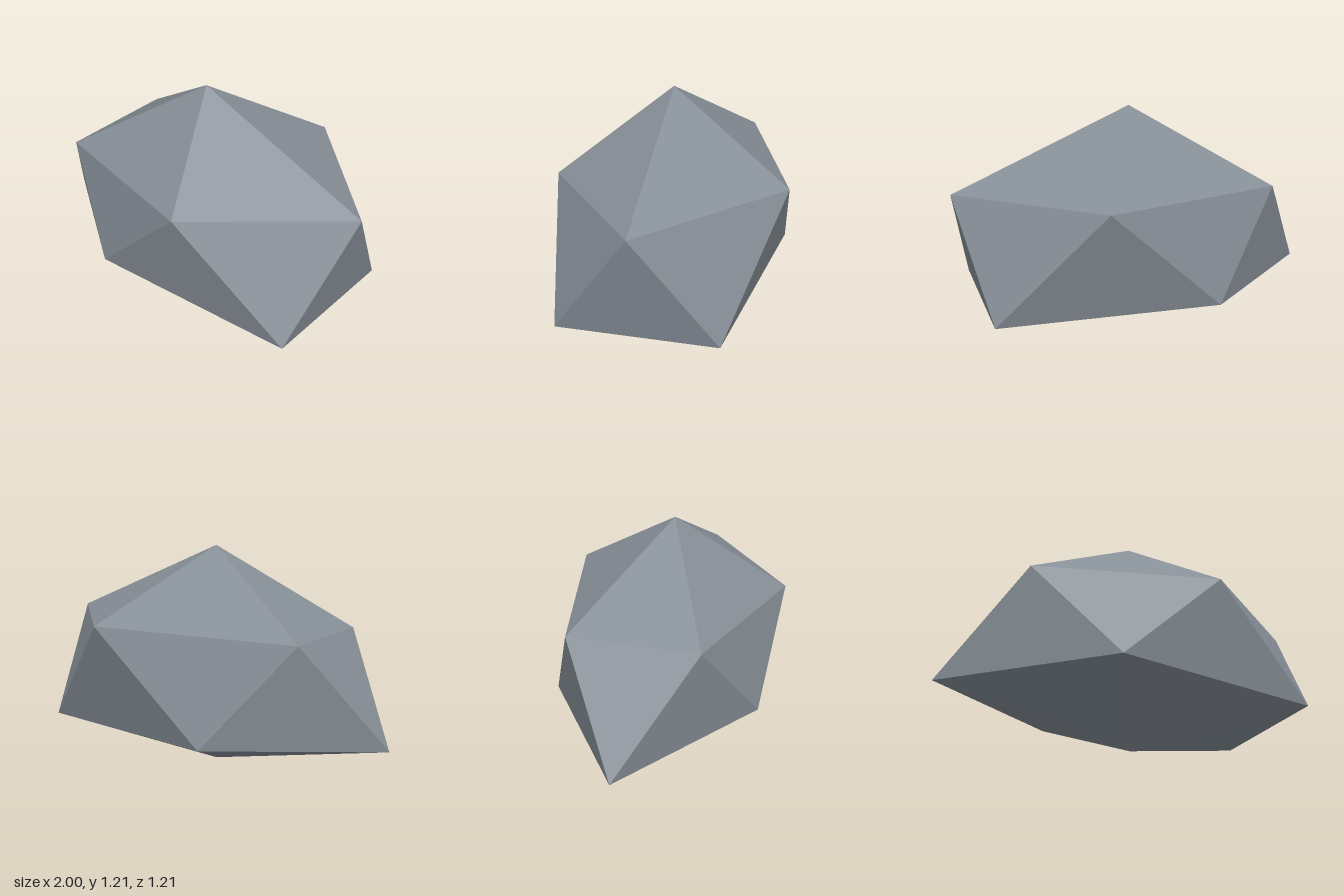
import * as THREE from 'three';

// Faceted boulder: two staggered five-point rings between a top and a bottom point
export function createModel() {
  const stoneGrey = new THREE.MeshStandardMaterial({ color: 0x868e96 });
  stoneGrey.name = 'stoneGrey';

  const top = [0.04, 1.21, 0.04];
  const bottom = [0.04, 0, 0.04];
  const upper = [[1, 0.81, 0.04], [0.31, 0.785, 0.6], [-0.63, 0.775, 0.37], [-0.66, 0.785, -0.3], [0.355, 0.825, -0.605]];
  const lower = [[0.88, 0.23, 0.45], [-0.22, 0.288, 0.575], [-1, 0.23, 0.04], [-0.25, 0.258, -0.55], [0.88, 0.226, -0.365]];

  const corners = [];
  for (let i = 0; i < 5; i++) {
    const j = (i + 1) % 5;
    corners.push(top, upper[j], upper[i]);         // cap
    corners.push(upper[i], upper[j], lower[i]);    // side, pointing down
    corners.push(lower[i], upper[j], lower[j]);    // side, pointing up
    corners.push(bottom, lower[i], lower[j]);      // underside
  }

  // Unshared corners give flat facets
  const geometry = new THREE.BufferGeometry();
  geometry.setAttribute('position', new THREE.Float32BufferAttribute(corners.flat(), 3));
  geometry.computeVertexNormals();

  const boulder = new THREE.Mesh(geometry, stoneGrey);
  boulder.name = 'boulder';

  const group = new THREE.Group();
  group.name = 'rock';
  group.add(boulder);
  return group;
}
